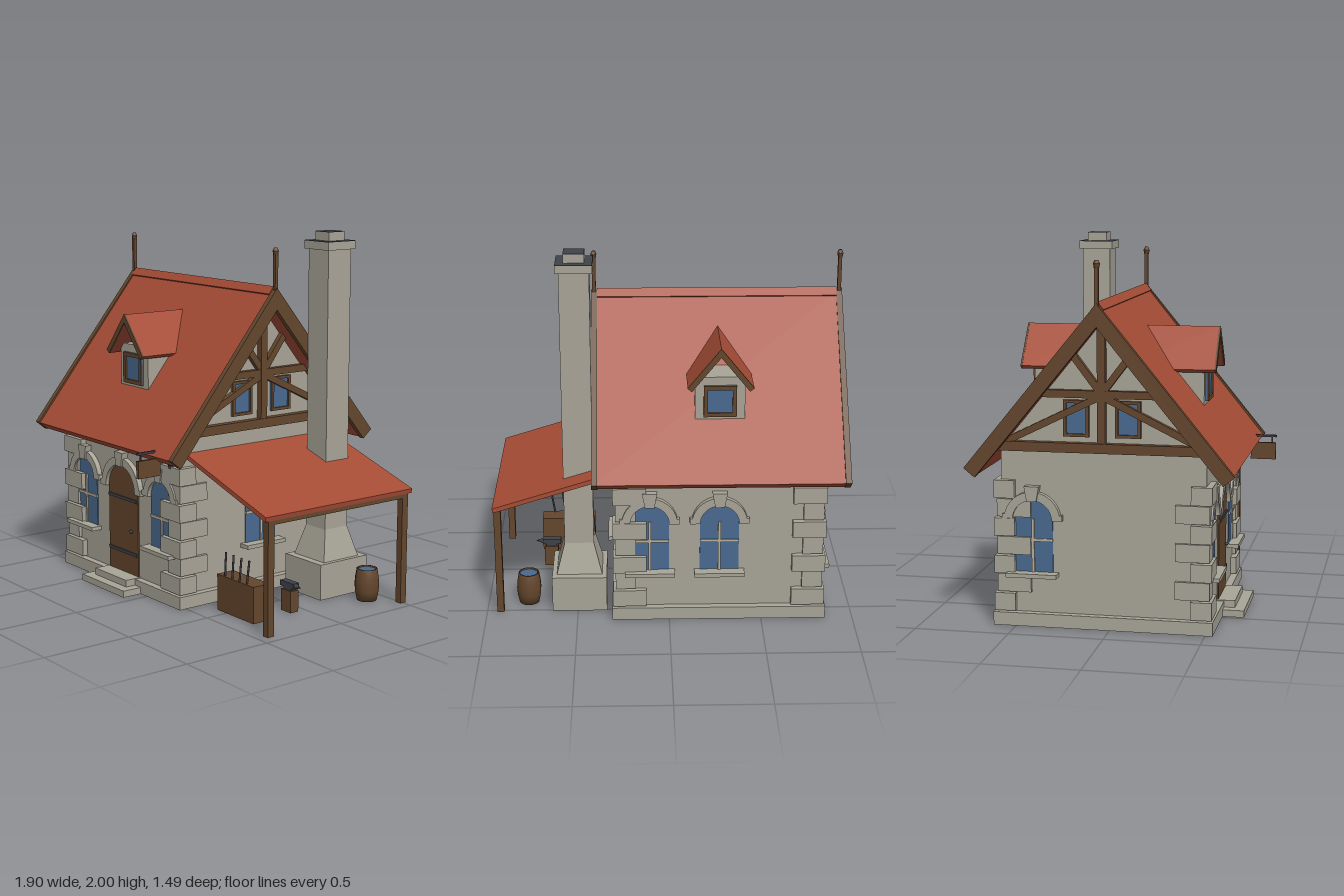
import * as THREE from 'three';

const mat = (name, color) => {
  const m = new THREE.MeshStandardMaterial({ color });
  m.name = name;
  return m;
};
const stone = mat('stone', 0xa8a497);
const tile = mat('roof tile', 0xa64c35);
const wood = mat('timber', 0x64462d);
const glass = mat('glass blue', 0x49698f);
const iron = mat('dark iron', 0x40424a);
const pale = mat('pale bars', 0xb9b09c);

const H = 0.54; // half width of the square house body

function mesh(parent, name, geo, material, x = 0, y = 0, z = 0) {
  const m = new THREE.Mesh(geo, material);
  m.name = name;
  m.position.set(x, y, z);
  parent.add(m);
  return m;
}
// Box given by its lower and upper limits on each axis
const box = (parent, name, material, x0, x1, y0, y1, z0, z1) =>
  mesh(parent, name, new THREE.BoxGeometry(x1 - x0, y1 - y0, z1 - z0), material,
    (x0 + x1) / 2, (y0 + y1) / 2, (z0 + z1) / 2);

function group(parent, name, x = 0, y = 0, z = 0, ry = 0) {
  const g = new THREE.Group();
  g.name = name;
  g.position.set(x, y, z);
  g.rotation.y = ry;
  parent.add(g);
  return g;
}
const extrude = (shape, depth, z = 0) =>
  new THREE.ExtrudeGeometry(shape, { depth, bevelEnabled: false, curveSegments: 10 }).translate(0, 0, z);
const poly = (pts) => new THREE.Shape(pts.map(([x, y]) => new THREE.Vector2(x, y)));

// Inverted V with ends cut square to the slope, t thick
function chevron(half, peak, slope, t, z0, z1) {
  const a = Math.atan(slope), y = peak - slope * half;
  const ix = half - t * Math.sin(a), iy = y - t * Math.cos(a);
  return extrude(poly([[0, peak], [-half, y], [-ix, iy], [0, peak - t / Math.cos(a)], [ix, iy], [half, y]]), z1 - z0, z0);
}
// Straight timber between two points in the plane of a wall
function brace(parent, x0, y0, x1, y1, w, z) {
  const b = mesh(parent, 'brace', new THREE.BoxGeometry(Math.hypot(x1 - x0, y1 - y0), w, 0.03), wood,
    (x0 + x1) / 2, (y0 + y1) / 2, z);
  b.rotation.z = Math.atan2(y1 - y0, x1 - x0);
}
// Arched panel with straight sides
function archPanel(r, y0, spring) {
  const s = new THREE.Shape();
  s.moveTo(-r, y0);
  s.lineTo(r, y0);
  s.lineTo(r, spring);
  s.absarc(0, spring, r, 0, Math.PI, false);
  return s;
}
function archStones(parent, r, spring) {
  const s = new THREE.Shape(), R = r + 0.045;
  s.absarc(0, spring, R, 0, Math.PI, false);
  s.absarc(0, spring, r, Math.PI, 0, true);
  mesh(parent, 'archStones', extrude(s, 0.03, H), stone);
  const k = spring + r;
  mesh(parent, 'keystone', extrude(poly([[-0.025, k - 0.005], [0.025, k - 0.005], [0.04, k + 0.075], [-0.04, k + 0.075]]), 0.04, H), stone);
  for (const s2 of [-1, 1]) {
    const x = s2 * (r + 0.027);
    box(parent, 'archFoot', stone, x - 0.028, x + 0.028, spring, spring + 0.03, H, H + 0.03);
  }
}
function archWindow(house, angle, u) {
  const wall = group(house, 'windowWall', 0, 0, 0, angle);
  const w = group(wall, 'archedWindow', u);
  mesh(w, 'pane', extrude(archPanel(0.105, 0.285, 0.565), 0.006, H), glass);
  box(w, 'mullion', pale, -0.007, 0.007, 0.285, 0.57, H, H + 0.014);
  box(w, 'transom', pale, -0.105, 0.105, 0.45, 0.465, H, H + 0.013);
  box(w, 'sill', stone, -0.135, 0.135, 0.265, 0.287, H, H + 0.065);
  archStones(w, 0.105, 0.565);
}
// Square window: timber frame around a pane
function framedWindow(parent, x0, x1, y0, y1, z, f) {
  box(parent, 'paneSquare', glass, x0, x1, y0, y1, z, z + 0.008);
  for (const x of [x0, x1 - f]) box(parent, 'frameSide', wood, x, x + f, y0, y1, z, z + 0.018);
  for (const y of [y0, y1 - f]) box(parent, 'frameRail', wood, x0 + f, x1 - f, y, y + f, z, z + 0.018);
}

function buildHouse(root) {
  const house = group(root, 'house', -0.27, 0, -0.04);
  box(house, 'plinth', stone, -0.58, 0.58, 0, 0.07, -0.58, 0.58);
  const body = poly([[-H, 0.05], [H, 0.05], [H, 0.945], [0, 1.6], [-H, 0.945]]);
  mesh(house, 'walls', extrude(body, 2 * H, -H).rotateY(Math.PI / 2), stone);

  // Corner stones, long side alternating
  for (const sx of [-1, 1]) for (const sz of [-1, 1]) for (let i = 0; i < 7; i++) {
    const out = i % 2 ? 0.02 : 0.033;
    const lx = i % 2 ? 0.11 : 0.18, lz = i % 2 ? 0.18 : 0.11;
    mesh(house, 'cornerStone', new THREE.BoxGeometry(lx, 0.094, lz), stone,
      sx * (H + out - lx / 2), 0.125 + i * 0.1, sz * (H + out - lz / 2));
  }

  // Windows as [wall angle, offset along the wall]
  const q = Math.PI / 2;
  for (const [a, u] of [[0, -0.375], [0, 0.375], [q, 0], [2 * q, -0.375], [2 * q, 0], [-q, -0.37]]) archWindow(house, a, u);

  // Door and steps
  const door = group(house, 'door');
  mesh(door, 'doorLeaf', extrude(archPanel(0.143, 0.07, 0.55), 0.008, H), wood);
  for (const y of [0.187, 0.495]) box(door, 'doorStrap', iron, -0.138, 0.138, y, y + 0.017, H, H + 0.016);
  mesh(door, 'doorKnob', new THREE.SphereGeometry(0.01, 8, 6), iron, 0.09, 0.327, H + 0.018);
  archStones(door, 0.143, 0.55);
  box(house, 'lowerStep', stone, -0.21, 0.21, 0, 0.037, H, 0.695);
  box(house, 'upperStep', stone, -0.155, 0.155, 0.037, 0.075, H, 0.64);

  // Timbered gables
  for (const a of [q, -q]) {
    const g = group(house, 'gable', 0, 0, 0, a), z = H + 0.015;
    box(g, 'tieBeam', wood, -0.575, 0.575, 0.93, 0.98, H - 0.02, H + 0.04);
    box(g, 'kingPost', wood, -0.021, 0.021, 0.95, 1.62, H, H + 0.035);
    box(g, 'collarBeam', wood, -0.32, 0.32, 1.213, 1.252, H, H + 0.032);
    for (const s of [-1, 1]) {
      brace(g, 0, 1.225, s * 0.51, 0.975, 0.036, z);
      brace(g, 0, 1.235, s * 0.155, 1.44, 0.036, z);
      const c = s * 0.135;
      framedWindow(g, c - 0.067, c + 0.067, 1.01, 1.2, H, 0.016);
    }
  }

  // Main roof, edge boards and finials
  mesh(house, 'mainRoof', chevron(0.69, 1.695, 1.23, 0.06, -0.66, 0.67).rotateY(q), tile);
  mesh(house, 'ridgeCap', chevron(0.032, 1.712, 1.23, 0.02, -0.65, 0.65).rotateY(q), tile);
  for (const x of [-0.665, 0.665]) {
    mesh(house, 'edgeBoard', chevron(0.7, 1.705, 1.22, 0.075, x - 0.016, x + 0.016).rotateY(q), wood);
    box(house, 'finialPost', wood, x - 0.01, x + 0.01, 1.66, 1.885, -0.01, 0.01);
    mesh(house, 'finialKnob', new THREE.CylinderGeometry(0.009, 0.018, 0.018, 6), wood, x, 1.911, 0);
    mesh(house, 'finialKnobBase', new THREE.CylinderGeometry(0.018, 0.013, 0.025, 6), wood, x, 1.89, 0);
  }

  // Dormers on both slopes
  for (const a of [0, Math.PI]) {
    const d = group(house, 'dormer', 0, 0, 0, a);
    box(d, 'dormerWall', stone, -0.132, 0.132, 1.05, 1.36, 0.1, 0.462);
    framedWindow(d, -0.087, 0.087, 1.143, 1.315, 0.462, 0.022);
    mesh(d, 'dormerRoof', chevron(0.174, 1.535, 1.23, 0.028, 0.02, 0.52), tile);
    mesh(d, 'dormerEdge', chevron(0.175, 1.537, 1.23, 0.03, 0.52, 0.53), wood);
  }
}

function buildChimney(root) {
  const c = group(root, 'chimney', 0.49, 0, -0.34);
  box(c, 'hearthBase', stone, -0.15, 0.15, 0, 0.2, -0.17, 0.17);
  const taper = new THREE.CylinderGeometry(0.08 * Math.SQRT2, 0.125 * Math.SQRT2, 0.17, 4).toNonIndexed();
  taper.rotateY(Math.PI / 4).computeVertexNormals();
  mesh(c, 'taper', taper, stone, 0, 0.285, 0);
  box(c, 'shaft', stone, -0.08, 0.08, 0.36, 1.91, -0.08, 0.08);
  box(c, 'cap', stone, -0.097, 0.097, 1.905, 1.948, -0.097, 0.097);
  box(c, 'capTop', iron, -0.097, 0.097, 1.948, 1.951, -0.097, 0.097);
  box(c, 'flue', stone, -0.055, 0.055, 1.951, 1.997, -0.055, 0.055);
  box(c, 'flueTop', iron, -0.055, 0.055, 1.997, 2, -0.055, 0.055);
}

function buildPorch(root) {
  const p = group(root, 'porch');
  const slab = poly([[0.27, 0.845], [0.27, 0.82], [0.945, 0.61], [0.95, 0.635]]);
  mesh(p, 'porchRoof', extrude(slab, 1.015, -0.545), tile);
  for (const z of [-0.5, 0.43]) box(p, 'porchPost', wood, 0.907, 0.945, 0, 0.61, z - 0.02, z + 0.02);
  box(p, 'porchBeam', wood, 0.907, 0.945, 0.588, 0.618, -0.52, 0.45);

  // Barrel of water
  const profile = [[0, 0], [0.055, 0], [0.065, 0.05], [0.068, 0.09], [0.065, 0.13], [0.057, 0.178], [0.05, 0.178], [0.05, 0.16]];
  const b = group(p, 'barrel', 0.775, 0, -0.388);
  mesh(b, 'staves', new THREE.LatheGeometry(profile.map(([x, y]) => new THREE.Vector2(x, y)), 14), wood);
  mesh(b, 'water', new THREE.CylinderGeometry(0.051, 0.051, 0.006, 14), glass, 0, 0.168, 0);

  // Tool bin with four rods
  box(p, 'toolBin', wood, 0.42, 0.73, 0, 0.2, 0.263, 0.372);
  for (let i = 0; i < 4; i++) {
    const rod = mesh(p, 'toolRod', new THREE.CylinderGeometry(0.006, 0.006, 0.15, 6), iron, 0.477 + i * 0.064, 0.255, 0.36);
    rod.rotation.z = -0.06 - 0.03 * i;
  }

  // Anvil on a stump
  const a = group(p, 'anvil', 0.67, 0, 0.075);
  box(a, 'stump', wood, -0.04, 0.04, 0, 0.12, -0.027, 0.027);
  box(a, 'anvilFoot', iron, -0.03, 0.03, 0.12, 0.135, -0.018, 0.018);
  box(a, 'anvilTop', iron, -0.055, 0.05, 0.133, 0.163, -0.021, 0.021);
  mesh(a, 'anvilHorn', new THREE.ConeGeometry(0.016, 0.045, 8).rotateZ(-Math.PI / 2), iron, 0.07, 0.147, 0);
}

function buildSign(root) {
  const s = group(root, 'hangingSign', 0.215);
  box(s, 'bracket', iron, -0.007, 0.007, 0.862, 0.874, 0.5, 0.745);
  box(s, 'bracketPlate', iron, -0.012, 0.012, 0.76, 0.88, 0.5, 0.535);
  const strut = mesh(s, 'strut', new THREE.BoxGeometry(0.01, 0.01, 0.13), iron, 0, 0.82, 0.575);
  strut.rotation.x = -0.75;
  for (const z of [0.62, 0.72]) box(s, 'hanger', iron, -0.004, 0.004, 0.82, 0.865, z - 0.004, z + 0.004);
  box(s, 'signBoard', wood, -0.01, 0.01, 0.735, 0.83, 0.6, 0.742);
}

export function createModel() {
  const root = new THREE.Group();
  root.name = 'stoneCottage';
  buildHouse(root);
  buildChimney(root);
  buildPorch(root);
  buildSign(root);
  return root;
}
